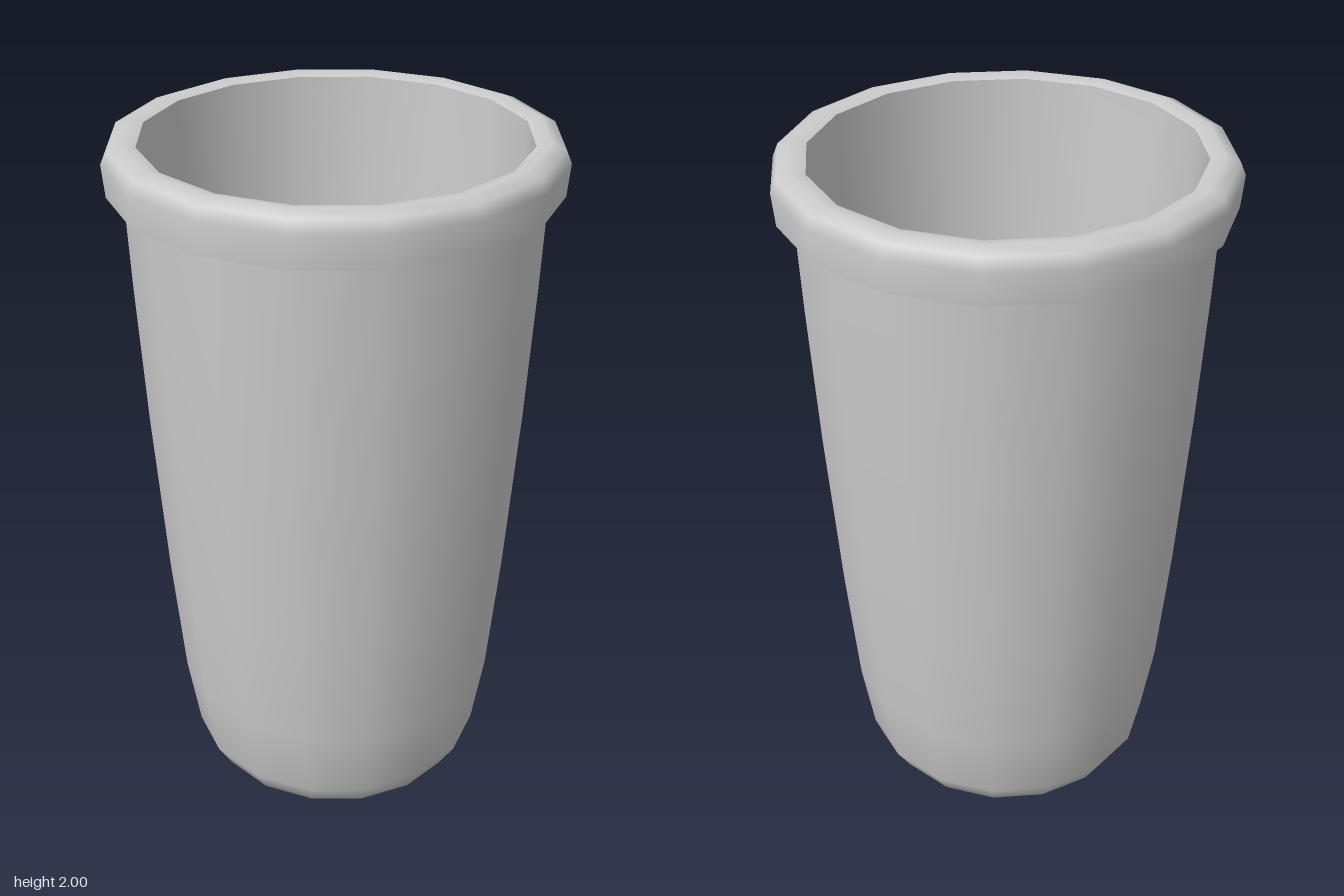
import * as THREE from 'three';

const SIDES = 16;

export function createModel() {
  const cup = new THREE.Group();
  cup.name = 'cup';
  const grey = new THREE.MeshStandardMaterial({ color: 0xcccccc });
  grey.name = 'light grey';

  // Each section is its own lathe, so the joins between sections stay sharp.
  const section = (name, profile) => {
    const points = profile.map(([r, y]) => new THREE.Vector2(r, y));
    const mesh = new THREE.Mesh(new THREE.LatheGeometry(points, SIDES), grey);
    mesh.name = name;
    cup.add(mesh);
  };

  // Underside and tapered outer wall with a rounded foot
  section('base', [[0, 0], [0.31, 0]]);
  section('outerWall', [
    [0.31, 0], [0.39, 0.035], [0.435, 0.11], [0.47, 0.33],
    [0.502, 0.7], [0.535, 1.2], [0.555, 1.6], [0.565, 1.86],
  ]);

  // Rolled rim with a flat underside
  section('rimUnderside', [[0.565, 1.86], [0.61, 1.86]]);
  section('rim', [
    [0.61, 1.86], [0.618, 1.95], [0.603, 1.985], [0.565, 2], [0.525, 1.99],
  ]);

  // Hollow inside, down to the floor
  section('innerWall', [[0.525, 1.99], [0.513, 1.6], [0.49, 1.15]]);
  section('lowerInnerWall', [[0.49, 1.15], [0.46, 0.7], [0.425, 0.33], [0.38, 0.11]]);
  section('floor', [[0.38, 0.11], [0, 0.11]]);

  return cup;
}
